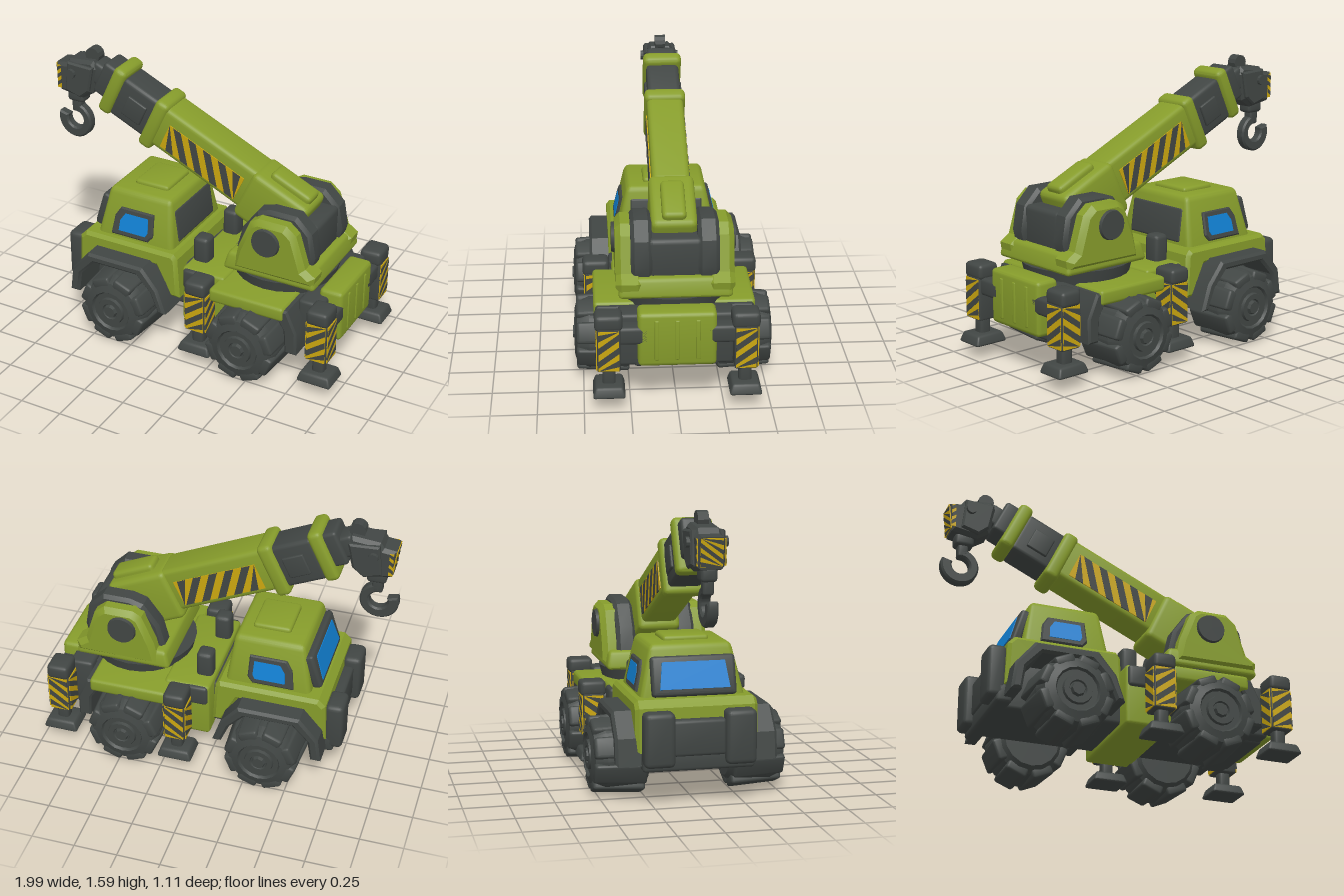
import * as THREE from 'three';
import { toCreasedNormals } from 'three/addons/utils/BufferGeometryUtils.js';
import { RoundedBoxGeometry } from 'three/addons/geometries/RoundedBoxGeometry.js';

const paint = (name, color) => Object.assign(new THREE.MeshStandardMaterial({ color }), { name });
const green = paint('olive green', 0x869c2b);
const dark = paint('dark grey', 0x414644);
const yellow = paint('hazard yellow', 0xcba70f);
const blue = paint('window blue', 0x1180d2);
const SIDES = [1, -1];

function add(parent, name, geo, mat, x = 0, y = 0, z = 0) {
  const m = new THREE.Mesh(toCreasedNormals(geo, 0.45), mat);
  m.name = name;
  m.position.set(x, y, z);
  parent.add(m);
  return m;
}

function group(parent, name, x = 0, y = 0, z = 0) {
  const g = new THREE.Group();
  g.name = name;
  g.position.set(x, y, z);
  parent.add(g);
  return g;
}

// Soft-edged box given by its size
const block = (w, h, d, r = 0.02) =>
  new RoundedBoxGeometry(w, h, d, 2, Math.min(r, w * 0.45, h * 0.45, d * 0.45));

// Soft-edged box given by its extents
function span(parent, name, mat, x0, x1, y0, y1, z0, z1, r) {
  return add(parent, name, block(x1 - x0, y1 - y0, z1 - z0, r), mat, (x0 + x1) / 2, (y0 + y1) / 2, (z0 + z1) / 2);
}

// Narrow a geometry towards its top
function taper(geo, h, kx, kz, shift = 0) {
  const p = geo.attributes.position;
  for (let i = 0; i < p.count; i++) {
    const t = p.getY(i) / h + 0.5;
    p.setX(i, p.getX(i) * (1 - t * (1 - kx)) + shift * t);
    p.setZ(i, p.getZ(i) * (1 - t * (1 - kz)));
  }
  return geo;
}

// Outline from a list of corners
const outline = (points) => new THREE.Shape(points.map((p) => new THREE.Vector2(...p)));

// Side outline extruded along z, centred, with a bevel that stays inside the outline
function extrude(shape, depth, bevel = 0) {
  const geo = new THREE.ExtrudeGeometry(shape, {
    depth: depth - 2 * bevel, bevelEnabled: bevel > 0, bevelThickness: bevel, bevelSize: bevel,
    bevelOffset: -bevel, bevelSegments: 1, curveSegments: 20,
  });
  return geo.translate(0, 0, bevel - depth / 2);
}
const prism = (points, depth, bevel) => extrude(outline(points), depth, bevel);

// Thin hazard plate: yellow sheet with slanted dark bands
function hazard(parent, length, height, bands) {
  const g = group(parent, 'hazardPlate');
  add(g, 'yellowSheet', new THREE.BoxGeometry(length, height, 0.006), yellow);
  const step = length / bands, half = length / 2, lean = height * 0.75;
  const clamp = (x) => Math.max(-half, Math.min(half, x));
  for (let i = -2; i < bands; i++) {
    const x = -half + i * step + step * 0.25, w = step * 0.5;
    const xs = [x + lean, x + w + lean, x + w, x].map(clamp);
    if (Math.max(...xs) - Math.min(...xs) < 0.01) continue;
    add(g, 'darkBand', prism([[xs[0], -height / 2], [xs[1], -height / 2], [xs[2], height / 2], [xs[3], height / 2]], 0.0096), dark);
  }
  return g;
}

function wheel(parent, x, s) {
  const g = group(parent, 'wheel', x, 0.23, s * 0.385);
  g.rotation.x = s * Math.PI / 2;
  const profile = [[0, -0.16], [0.16, -0.16], [0.2, -0.12], [0.208, 0.08], [0.18, 0.145], [0.125, 0.16],
    [0.115, 0.145], [0.085, 0.145], [0.08, 0.162], [0.05, 0.162], [0.045, 0.15], [0, 0.15]];
  add(g, 'tyre', new THREE.LatheGeometry(profile.map((p) => new THREE.Vector2(...p)), 16), dark);
  for (let i = 0; i < 8; i++) {
    const a = i * Math.PI / 4 + Math.PI / 8;
    const lug = add(g, 'treadLug', taper(block(0.07, 0.29, 0.13, 0.018), 0.29, 0.85, 0.9, -0.012), dark, Math.cos(a) * 0.187, 0.005, Math.sin(a) * 0.187);
    lug.rotation.y = -a;
  }
  add(g, 'hub', new THREE.CylinderGeometry(0.035, 0.045, 0.03, 8), dark, 0, 0.155, 0);
}

function outrigger(parent, x, s, z) {
  const g = group(parent, 'outrigger', x, 0, s * z);
  add(g, 'foot', taper(block(0.21, 0.06, 0.18, 0.015), 0.06, 0.8, 0.8), dark, 0, 0.11, 0);
  add(g, 'piston', block(0.07, 0.15, 0.07), dark, 0, 0.18, 0);
  add(g, 'column', block(0.125, 0.27, 0.125, 0.012), dark, 0, 0.355, 0);
  add(g, 'cap', block(0.13, 0.09, 0.15, 0.025), dark, 0, 0.5, 0);
  add(g, 'arm', block(0.1, 0.1, 0.2), dark, 0, 0.42, -s * 0.12);
  const outer = hazard(g, 0.23, 0.11, 3);
  outer.rotation.z = Math.PI / 2;
  outer.position.set(0, 0.345, s * 0.065);
  for (const e of SIDES) {
    const end = group(g, 'endPlate', e * 0.065, 0.345, 0);
    end.rotation.y = Math.PI / 2;
    hazard(end, 0.23, 0.11, 3).rotation.z = Math.PI / 2;
  }
}

function chassis(root) {
  const g = group(root, 'chassis');
  span(g, 'frontFrame', dark, -0.68, 0.03, 0.2, 0.48, -0.23, 0.23);
  span(g, 'middleBody', green, 0, 0.27, 0.17, 0.52, -0.33, 0.33);
  span(g, 'rearFrame', dark, 0.24, 0.86, 0.2, 0.48, -0.23, 0.23);
  span(g, 'rearCrossFrame', dark, 0.72, 0.86, 0.21, 0.51, -0.31, 0.31);
  span(g, 'rearDeck', green, 0.23, 0.69, 0.42, 0.505, -0.44, 0.44);
  span(g, 'tailBox', green, 0.8, 0.94, 0.24, 0.55, -0.21, 0.21, 0.025);
  for (let i = -1; i <= 1; i++) span(g, 'tailRib', green, 0.92, 0.946, 0.28, 0.51, i * 0.11 - 0.012, i * 0.11 + 0.012, 0.006);
  span(g, 'grille', dark, -0.74, -0.67, 0.28, 0.48, -0.15, 0.15);
  span(g, 'bumper', dark, -0.73, -0.64, 0.2, 0.31, -0.31, 0.31);
  for (const s of SIDES) {
    add(g, 'frontFender', prism([[-0.69, 0.23], [-0.63, 0.23], [-0.61, 0.36], [-0.52, 0.455], [-0.24, 0.455], [-0.15, 0.36],
      [-0.1, 0.24], [-0.05, 0.24], [-0.1, 0.39], [-0.2, 0.51], [-0.56, 0.51], [-0.67, 0.38]], 0.25, 0.015), dark, 0, 0, s * 0.325);
    add(g, 'rearFender', prism([[0.62, 0.49], [0.64, 0.44], [0.69, 0.36], [0.7, 0.22], [0.77, 0.22], [0.77, 0.36], [0.71, 0.49]], 0.23, 0.012), dark, 0, 0, s * 0.315);
    span(g, 'lampBlock', dark, -0.78, -0.67, 0.23, 0.53, s * 0.225 - 0.085, s * 0.225 + 0.085, 0.03);
    span(g, 'sideLocker', dark, 0.01, 0.15, 0.39, 0.515, s * 0.3 - 0.045, s * 0.3 + 0.045);
    span(g, 'exhaust', dark, 0.015, 0.11, 0.48, 0.67, s * 0.18 - 0.05, s * 0.18 + 0.05, 0.025);
    for (const x of [-0.355, 0.465]) wheel(g, x, s);
    outrigger(g, 0.165, s, 0.42);
    outrigger(g, 0.89, s, 0.365);
  }
}

function cab(root) {
  const g = group(root, 'cab');
  add(g, 'cabBody', prism([[-0.69, 0.3], [-0.65, 0.3], [-0.55, 0.48], [-0.17, 0.48], [-0.08, 0.3], [-0.02, 0.3],
    [-0.035, 0.55], [-0.06, 0.58], [-0.64, 0.58], [-0.68, 0.54]], 0.68, 0.02), green);
  add(g, 'cabin', taper(block(0.51, 0.32, 0.6, 0.035), 0.32, 0.79, 0.76, 0.01), green, -0.335, 0.7, 0);
  span(g, 'roofHatch', green, -0.42, -0.2, 0.83, 0.885, -0.13, 0.13);
  // Leaning windscreen
  const screen = group(g, 'windscreen', -0.578, 0.69, 0);
  screen.rotation.z = -0.3;
  add(screen, 'screenFrame', block(0.06, 0.22, 0.47), dark);
  add(screen, 'screenGlass', taper(new THREE.BoxGeometry(0.008, 0.15, 0.39), 0.15, 1, 0.9), blue, -0.031, 0, 0);
  const rear = add(g, 'rearPanel', block(0.03, 0.2, 0.42), dark, -0.11, 0.69, 0);
  rear.rotation.z = 0.14;
  // Side windows follow the slope of the cabin walls
  for (const s of SIDES) {
    const w = group(g, 'sideWindow', -0.345, 0.675, s * 0.268);
    w.rotation.x = -s * 0.222;
    add(w, 'windowFrame', prism([[-0.14, -0.085], [0.1, -0.085], [0.13, -0.05], [0.125, 0.085], [-0.09, 0.085], [-0.125, 0.03]], 0.034, 0.008), dark);
    add(w, 'windowGlass', prism([[-0.09, -0.055], [0.085, -0.055], [0.1, -0.03], [0.095, 0.055], [-0.055, 0.055], [-0.085, 0.01]], 0.008), blue, 0, 0, s * 0.016);
  }
}

function turret(root) {
  const g = group(root, 'turret');
  add(g, 'turntable', new THREE.CylinderGeometry(0.31, 0.29, 0.08, 24), dark, 0.5, 0.53, 0);
  add(g, 'turretBase', taper(block(0.57, 0.11, 0.62, 0.025), 0.11, 0.9, 0.94), green, 0.53, 0.63, 0);
  span(g, 'rearMotor', dark, 0.5, 0.75, 0.66, 0.89, -0.15, 0.15, 0.03);
  for (const s of SIDES) {
    add(g, 'sidePlate', prism([[0.31, 0.6], [0.34, 0.74], [0.41, 0.91], [0.46, 0.94], [0.63, 0.94], [0.69, 0.89],
      [0.75, 0.7], [0.81, 0.66], [0.8, 0.6]], 0.15, 0.03), green, 0, 0, s * 0.245);
    add(g, 'sideArmour', prism([[0.29, 0.66], [0.33, 0.82], [0.42, 0.945], [0.5, 0.97], [0.66, 0.97], [0.75, 0.88], [0.775, 0.74], [0.76, 0.68]], 0.115, 0.02), dark, 0, 0, s * 0.18);
    const pivot = add(g, 'pivotCap', new THREE.CylinderGeometry(0.08, 0.095, 0.05, 20), dark, 0.52, 0.82, s * 0.312);
    pivot.rotation.x = s * Math.PI / 2;
  }
}

// Boom is built level, pointing to -x, then raised
function boom(root) {
  const g = group(root, 'boom', 0.297, 0.977, 0);
  g.rotation.z = -25 * Math.PI / 180;
  span(g, 'boomBase', green, -0.02, 0.36, -0.18, 0.14, -0.125, 0.125, 0.035);
  span(g, 'baseCover', green, 0.06, 0.33, 0.11, 0.178, -0.065, 0.065, 0.025);
  span(g, 'mainSection', green, -0.65, 0.02, -0.135, 0.137, -0.105, 0.105, 0.03);
  span(g, 'lowerCollar', green, -0.705, -0.615, -0.175, 0.155, -0.118, 0.118, 0.03);
  span(g, 'middleSection', dark, -0.94, -0.68, -0.135, 0.13, -0.095, 0.095, 0.025);
  span(g, 'upperCollar', green, -1.01, -0.925, -0.15, 0.165, -0.112, 0.112, 0.03);
  span(g, 'tipSection', dark, -1.085, -0.98, -0.08, 0.132, -0.085, 0.085);
  span(g, 'tipNeck', dark, -1.15, -1.05, -0.05, 0.08, -0.065, 0.065);
  for (const s of SIDES) {
    hazard(g, 0.52, 0.16, 5).position.set(-0.31, -0.02, s * 0.107);
    add(g, 'slideRail', block(0.13, 0.13, 0.02, 0.008), dark, -0.8, -0.01, s * 0.098);
  }
}

function craneHead(root) {
  const g = group(root, 'craneHead');
  add(g, 'headBlock', prism([[-0.97, 1.48], [-0.95, 1.31], [-0.8, 1.285], [-0.73, 1.33], [-0.69, 1.49], [-0.72, 1.535], [-0.88, 1.52], [-0.9, 1.49]], 0.15, 0.02), dark);
  for (const s of SIDES) {
    add(g, 'cheekPlate', prism([[-0.9, 1.33], [-0.8, 1.3], [-0.74, 1.35], [-0.71, 1.5], [-0.88, 1.51]], 0.04, 0.01), dark, 0, 0, s * 0.075);
    const bolt = add(g, 'headBolt', new THREE.CylinderGeometry(0.028, 0.03, 0.03, 12), dark, -0.85, 1.445, s * 0.098);
    bolt.rotation.x = s * Math.PI / 2;
    const edge = hazard(g, 0.14, 0.024, 3);
    edge.rotation.z = Math.PI / 2;
    edge.position.set(-0.945, 1.4, s * 0.075);
  }
  const nose = group(g, 'nosePlate', -0.962, 1.4, 0);
  nose.rotation.set(0, Math.PI / 2, 0.117, 'ZYX');
  hazard(nose, 0.15, 0.12, 3).rotation.z = Math.PI / 2;
  const pulley = add(g, 'pulley', new THREE.CylinderGeometry(0.046, 0.046, 0.06, 12), dark, -0.745, 1.552, 0);
  pulley.rotation.x = Math.PI / 2;
  // Hook
  span(g, 'hookBlock', dark, -0.92, -0.81, 1.24, 1.32, -0.045, 0.045);
  span(g, 'hookShank', dark, -0.9, -0.84, 1.17, 1.27, -0.03, 0.03, 0.012);
  const a0 = Math.PI * 0.88, a1 = Math.PI * 2.52;
  const curve = new THREE.Shape();
  curve.absarc(0, 0, 0.11, a0, a1, false);
  curve.absarc(0.005, 0.005, 0.052, a1, a0, true);
  add(g, 'hook', extrude(curve, 0.06, 0.01), dark, -0.885, 1.112, 0);
}

export function createModel() {
  const root = new THREE.Group();
  root.name = 'mobileCrane';
  for (const build of [chassis, cab, turret, boom, craneHead]) build(root);
  return root;
}
